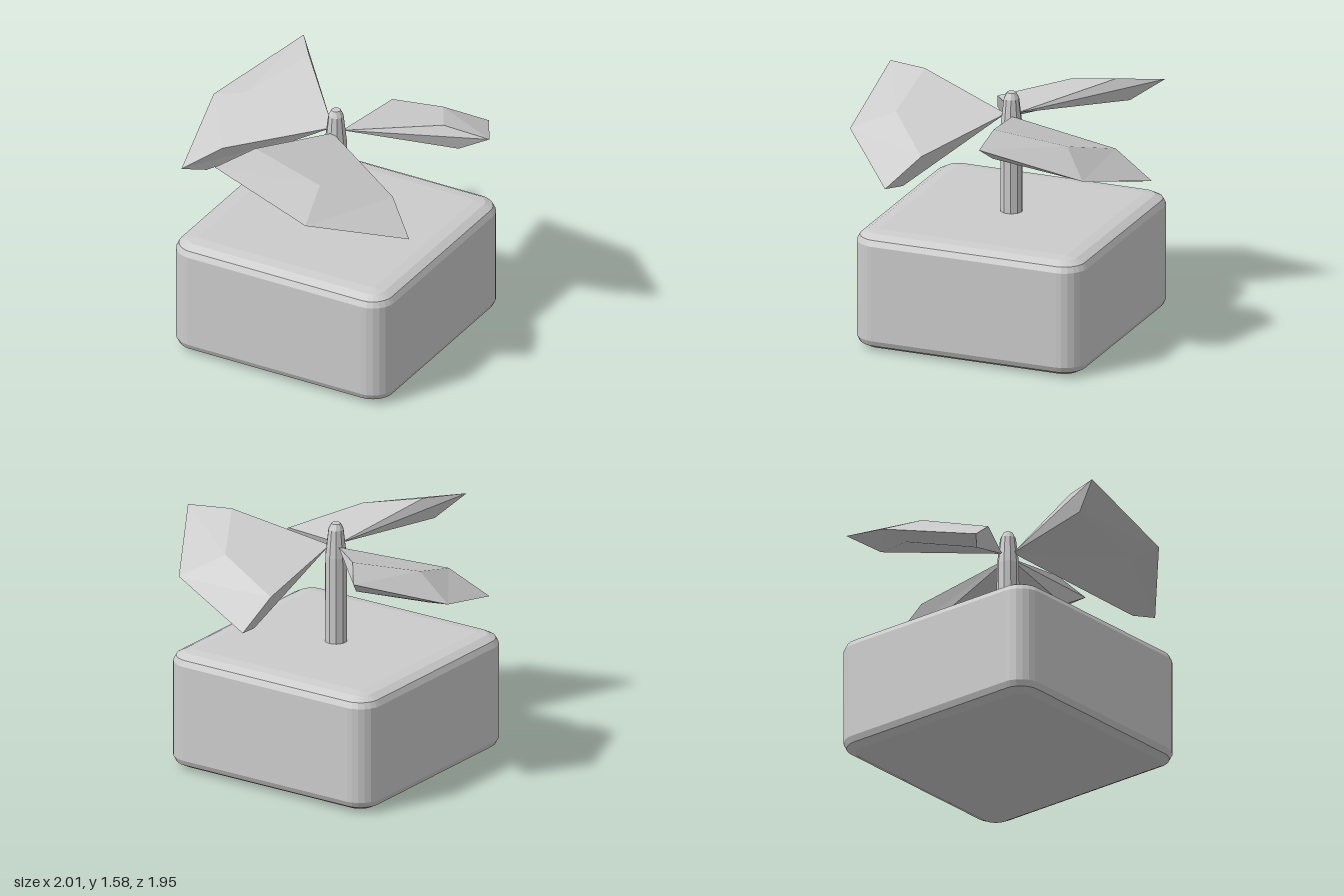
import * as THREE from 'three';

const grey = new THREE.MeshStandardMaterial({ color: 0xcccccc, flatShading: true });

function part(name, geometry) {
  const mesh = new THREE.Mesh(geometry, grey);
  mesh.name = name;
  return mesh;
}

// Squashed cube with rounded edges: a small rounded square grown by an elliptical bevel
function baseGeometry() {
  const half = 0.785, height = 0.785, bevel = 0.14, bevelHeight = 0.075, r = 0.02;
  const c = half - bevel - r;
  const shape = new THREE.Shape();
  [[1, 1], [-1, 1], [-1, -1], [1, -1]].forEach(([sx, sy], i) => {
    shape.absarc(sx * c, sy * c, r, i * Math.PI / 2, (i + 1) * Math.PI / 2, false);
  });
  const geometry = new THREE.ExtrudeGeometry(shape, {
    depth: height - 2 * bevelHeight, curveSegments: 3,
    bevelSize: bevel, bevelThickness: bevelHeight, bevelSegments: 3,
  });
  geometry.translate(0, 0, bevelHeight);
  geometry.rotateX(-Math.PI / 2);
  return geometry;
}

// Faceted wedge: one root point, an upper ridge, an outer rim and a lower ridge
function bladeGeometry() {
  const points = [
    [0, 1.43, 0.04],
    [0.62, 1.3, 0.36], [0.27, 1.445, 0.68], [-0.2, 1.58, 0.68],
    [0.83, 1.13, 0.52], [0.33, 1.31, 0.97], [-0.33, 1.55, 0.97],
    [0.68, 1.11, 0.46], [0.28, 1.27, 0.79], [-0.22, 1.42, 0.775],
  ];
  const faces = [
    [0, 2, 1], [0, 3, 2],             // upper face
    [1, 2, 5, 4], [2, 3, 6, 5],       // upper rim
    [4, 5, 8, 7], [5, 6, 9, 8],       // lower rim
    [0, 7, 8], [0, 8, 9],             // lower face
    [0, 1, 4, 7], [0, 9, 6, 3],       // side edges
  ];
  const positions = [];
  for (const [a, ...rest] of faces) {
    for (let i = 0; i + 1 < rest.length; i++) {
      positions.push(...points[a], ...points[rest[i]], ...points[rest[i + 1]]);
    }
  }
  const geometry = new THREE.BufferGeometry();
  geometry.setAttribute('position', new THREE.Float32BufferAttribute(positions, 3));
  geometry.computeVertexNormals();
  return geometry;
}

export function createModel() {
  const model = new THREE.Group();
  model.name = 'rotorBlock';
  model.add(part('base', baseGeometry()));

  // Shaft with a tapered, blunt tip
  const profile = [[0, 0.75], [0.073, 0.75], [0.071, 1.36], [0.05, 1.54], [0.03, 1.58], [0, 1.58]];
  model.add(part('shaft', new THREE.LatheGeometry(profile.map(([x, y]) => new THREE.Vector2(x, y)), 10)));

  // Three pitched blades around the shaft
  const rotor = new THREE.Group();
  rotor.name = 'rotor';
  const blade = bladeGeometry();
  for (let i = 0; i < 3; i++) {
    const mesh = part('blade' + (i + 1), blade);
    mesh.rotation.y = i * Math.PI * 2 / 3;
    rotor.add(mesh);
  }
  model.add(rotor);
  return model;
}
